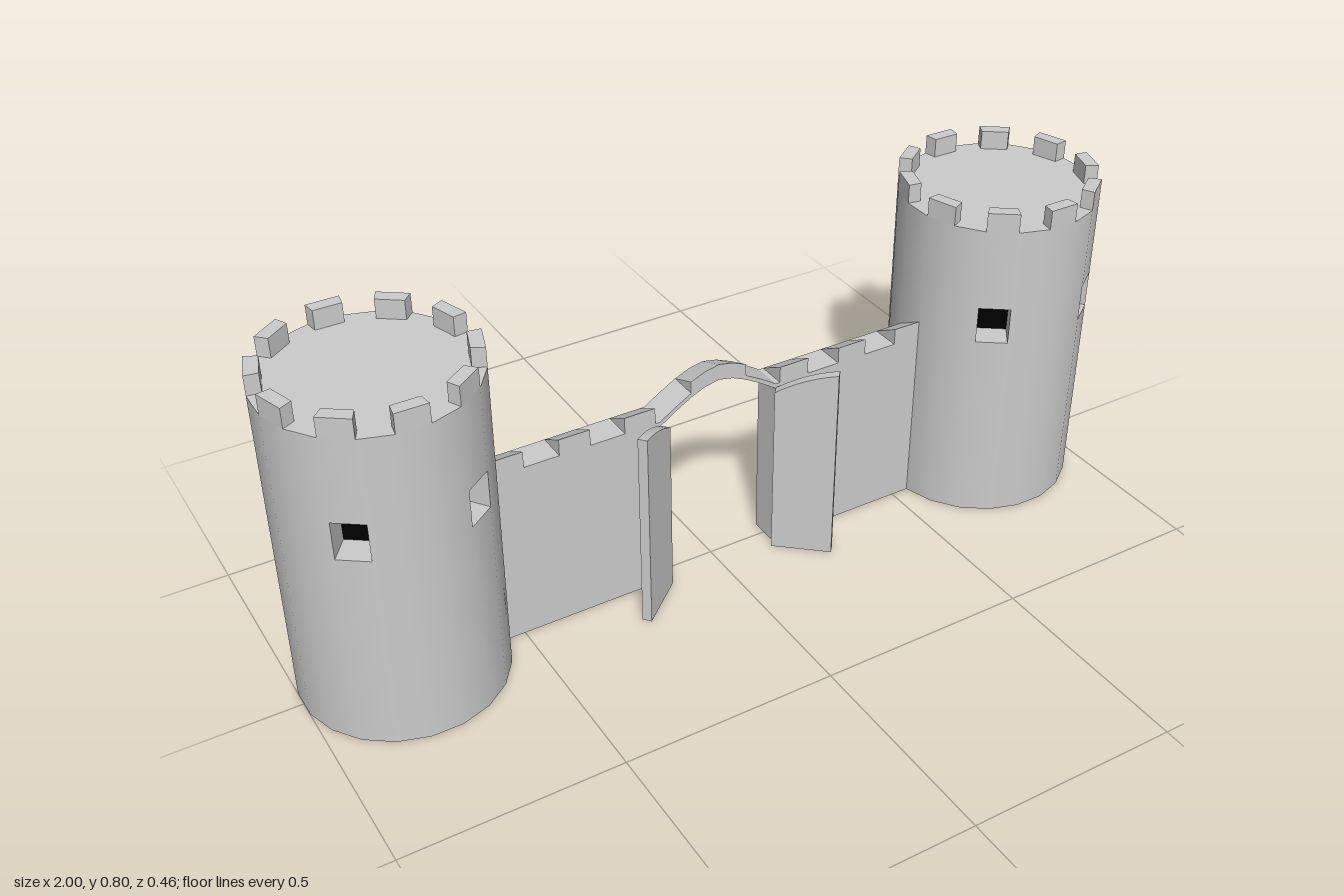
import * as THREE from 'three';
import { mergeGeometries } from 'three/addons/utils/BufferGeometryUtils.js';

const SIDES = 20, STEP = (Math.PI * 2) / SIDES;
const R = 0.231, APOTHEM = R * Math.cos(STEP / 2), FACET = 2 * R * Math.sin(STEP / 2);
const ROOF = 0.755, TOP = 0.8, SILL = 0.472, LINTEL = 0.56, RECESS = 0.065;
const TOWER_X = 0.7715, WALL_TOP = 0.44, HALF_DEPTH = 0.035;

const grey = new THREE.MeshStandardMaterial({ color: 0xcccccc });
const flat = new THREE.MeshStandardMaterial({ color: 0xcccccc, flatShading: true });
const black = new THREE.MeshStandardMaterial({ color: 0x000000 });

function add(parent, name, geometry, material = flat) {
  const mesh = new THREE.Mesh(geometry, material);
  mesh.name = name;
  parent.add(mesh);
  return mesh;
}

// Upright strip of one tower facet
function facet(y0, y1, angle) {
  return new THREE.PlaneGeometry(FACET, y1 - y0)
    .translate(0, (y0 + y1) / 2, APOTHEM).rotateY(angle);
}

function makeTower() {
  const tower = new THREE.Group();
  tower.name = 'tower';

  // Round wall, left open where the two front windows sit
  const strips = [];
  for (let k = 0; k < SIDES; k++) {
    const a = k * STEP;
    if (k === 2 || k === SIDES - 2) strips.push(facet(0, SILL, a), facet(LINTEL, ROOF, a));
    else strips.push(facet(0, ROOF, a));
  }
  const wall = mergeGeometries(strips);
  const p = wall.attributes.position, n = wall.attributes.normal;
  for (let i = 0; i < p.count; i++) {
    const r = Math.hypot(p.getX(i), p.getZ(i));
    n.setXYZ(i, p.getX(i) / r, 0, p.getZ(i) / r);
  }
  add(tower, 'towerWall', wall, grey);

  // Roof floor and base
  const disc = () => new THREE.CircleGeometry(R, SIDES, STEP / 2);
  add(tower, 'towerRoof', disc().rotateX(-Math.PI / 2).translate(0, ROOF, 0));
  add(tower, 'towerBase', disc().rotateX(Math.PI / 2));

  // Window recesses: inside-out box with a dark back
  for (const a of [2 * STEP, -2 * STEP]) {
    const h = LINTEL - SILL, y = (LINTEL + SILL) / 2;
    const box = new THREE.BoxGeometry(FACET, h, RECESS).scale(1, 1, -1);
    box.computeVertexNormals();
    add(tower, 'windowRecess', box.translate(0, y, APOTHEM - RECESS / 2).rotateY(a));
    add(tower, 'windowOpening', new THREE.PlaneGeometry(FACET, h)
      .translate(0, y, APOTHEM - RECESS + 0.001).rotateY(a), black);
  }

  // Battlements on every second facet
  const inner = APOTHEM - 0.03, wi = (FACET / 2) * (inner / APOTHEM);
  const plan = new THREE.Shape([
    new THREE.Vector2(-FACET / 2, -APOTHEM), new THREE.Vector2(FACET / 2, -APOTHEM),
    new THREE.Vector2(wi, -inner), new THREE.Vector2(-wi, -inner),
  ]);
  for (let k = 0; k < SIDES; k += 2) {
    const merlon = new THREE.ExtrudeGeometry(plan, { depth: TOP - ROOF, bevelEnabled: false });
    add(tower, 'towerMerlon', merlon.rotateX(-Math.PI / 2).translate(0, ROOF, 0).rotateY(k * STEP));
  }
  return tower;
}

// Battlement that slopes from full height at the front to nothing at the back
function wedge(x0, x1, height, base, segments = 1) {
  const g = new THREE.BoxGeometry(x1 - x0, 1, HALF_DEPTH * 2, segments, 1, 1)
    .translate((x0 + x1) / 2, 0.5, 0);
  const p = g.attributes.position;
  for (let i = 0; i < p.count; i++) {
    const rise = p.getZ(i) > 0 ? height : 0;
    p.setY(i, base(p.getX(i)) + p.getY(i) * rise);
  }
  g.computeVertexNormals();
  return g;
}

// One half of the gate: tower, curtain wall and open door
function makeSide() {
  const side = new THREE.Group();
  const tower = makeTower();
  tower.position.x = TOWER_X;
  side.add(tower);

  const x0 = 0.148, x1 = 0.56;
  add(side, 'curtainWall', new THREE.BoxGeometry(x1 - x0, WALL_TOP, HALF_DEPTH * 2)
    .translate((x0 + x1) / 2, WALL_TOP / 2, 0));
  for (const [a, b] of [[0.16, 0.235], [0.318, 0.392], [0.475, 0.56]]) {
    add(side, 'wallMerlon', wedge(a, b, 0.04, () => WALL_TOP));
  }

  // Door with a curved top, swung open to the front
  const shape = new THREE.Shape();
  shape.moveTo(0, 0);
  shape.lineTo(0.142, 0);
  shape.lineTo(0.142, 0.49);
  shape.quadraticCurveTo(0.07, 0.478, 0, 0.432);
  const door = add(side, 'door', new THREE.ExtrudeGeometry(shape,
    { depth: 0.022, bevelEnabled: false, curveSegments: 6 }).translate(0, 0, -0.011));
  door.position.set(0.141, 0, 0.046);
  door.rotation.y = -0.71;
  return side;
}

// Thin arch over the gateway with one raised battlement
function makeArch() {
  const arch = new THREE.Group();
  arch.name = 'arch';
  const half = [[0, 0.51], [0.035, 0.503], [0.07, 0.488], [0.11, 0.465], [0.152, 0.438]];
  const line = [...half.slice(1).reverse().map(([x, y]) => [-x, y]), ...half];
  const outline = [...line, ...line.slice().reverse().map(([x, y]) => [x * 0.98, y - 0.01])];
  const shape = new THREE.Shape(outline.map(([x, y]) => new THREE.Vector2(x, y)));
  add(arch, 'archBand', new THREE.ExtrudeGeometry(shape,
    { depth: HALF_DEPTH * 2, bevelEnabled: false }).translate(0, 0, -HALF_DEPTH));
  const base = (x) => {
    const t = Math.abs(x) / 0.035;
    return t <= 1 ? 0.51 - 0.007 * t : 0.503 - 0.015 * (t - 1);
  };
  add(arch, 'archMerlon', wedge(-0.07, 0.07, 0.029, base, 4));
  return arch;
}

export function createModel() {
  const model = new THREE.Group();
  model.name = 'castleGate';
  const left = makeSide(), right = makeSide();
  left.name = 'leftSide';
  right.name = 'rightSide';
  right.scale.x = -1;
  model.add(left, right, makeArch());
  return model;
}
